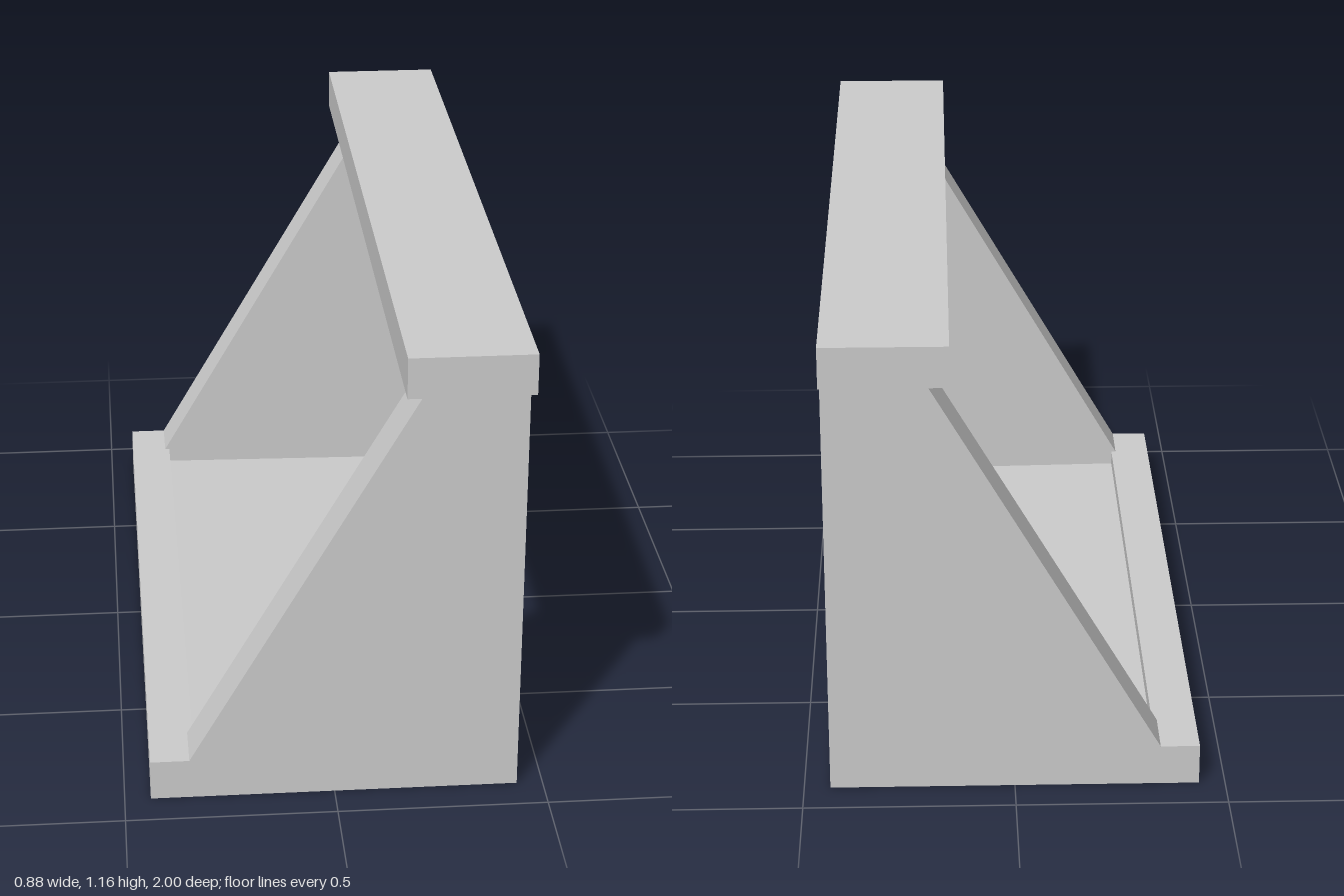
import * as THREE from 'three';

const material = new THREE.MeshStandardMaterial({ color: 0xcccccc, flatShading: true });

// Extrudes an (x, y) profile along z between z0 and z1
function slab(name, points, z0, z1) {
  const shape = new THREE.Shape(points.map(([x, y]) => new THREE.Vector2(x, y)));
  const geometry = new THREE.ExtrudeGeometry(shape, { depth: z1 - z0, bevelEnabled: false });
  geometry.translate(0, 0, z0);
  const mesh = new THREE.Mesh(geometry, material);
  mesh.name = name;
  return mesh;
}

export function createModel() {
  const group = new THREE.Group();
  group.name = 'culvertHeadwall';

  const X = 0.438;       // half depth
  const inner = 0.783;   // inner face of the side walls
  const outer = 0.91;    // outer face of the side walls
  const curbY = 0.1;     // top of the curb
  const beamY = 1.065;   // underside of the top beam

  // Sloped side walls, with the curb end at their foot
  const wall = [[-X, 0], [X, 0], [X, beamY], [0.217, beamY], [-0.345, curbY], [-X, curbY]];
  group.add(slab('leftWall', wall, -outer, -inner));
  group.add(slab('rightWall', wall, inner, outer));
  group.children[0].name = 'rearWall';
  group.children[1].name = 'frontWall';

  // Slightly sloping floor with a raised curb along its edge
  const floor = [[-X, 0], [X, 0], [X, 0.051], [-0.333, 0.062], [-0.333, curbY], [-X, curbY]];
  group.add(slab('floorWithCurb', floor, -inner, inner));

  // Top beam overhanging the walls
  const beam = [[0.148, beamY], [X, beamY], [X, 1.163], [0.148, 1.163]];
  group.add(slab('topBeam', beam, -1, 1));

  return group;
}
